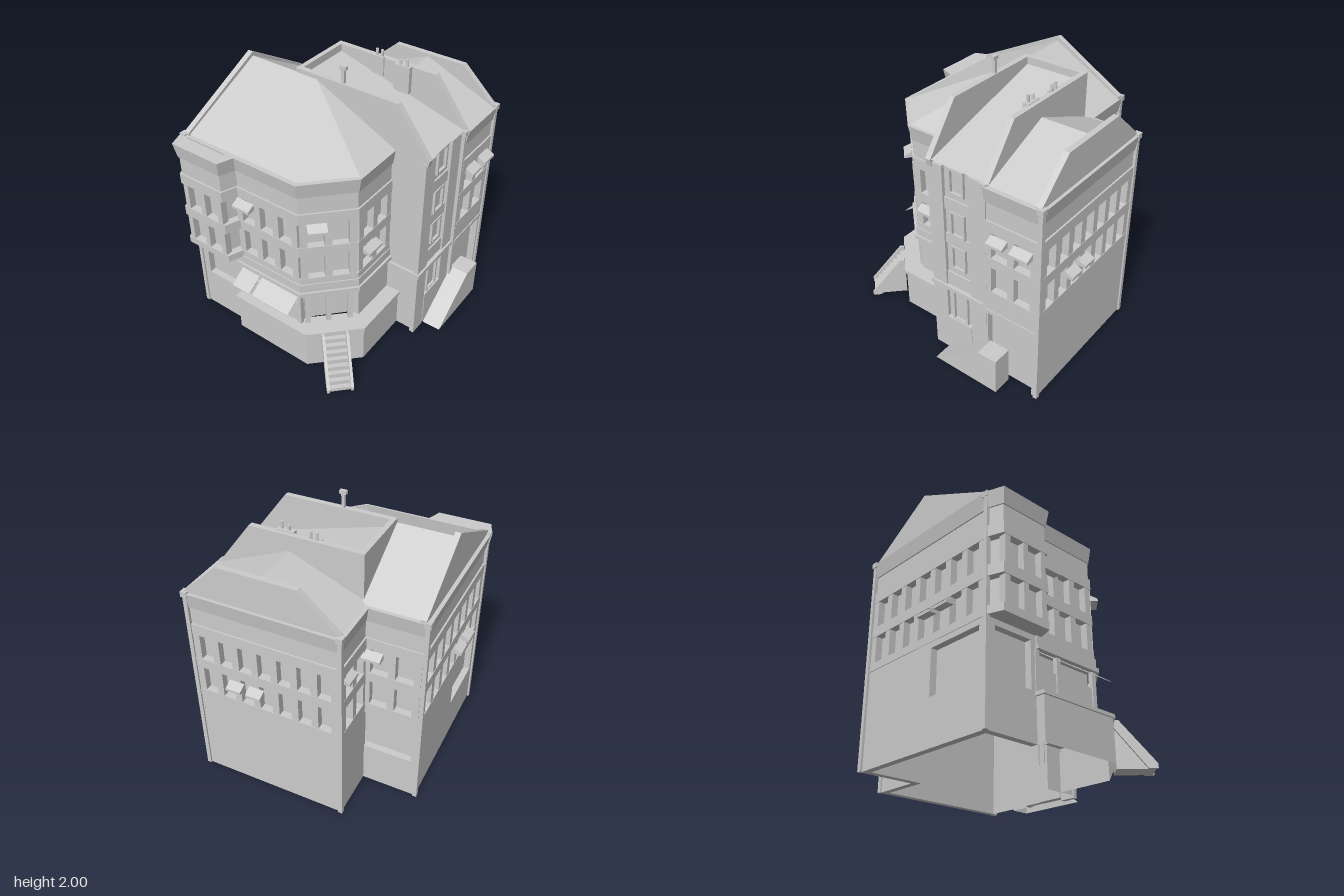
import * as THREE from 'three';

const grey = new THREE.MeshStandardMaterial({ color: 0xcccccc, flatShading: true, side: THREE.DoubleSide });

export function createModel() {
  const model = new THREE.Group();

  const add = (name, geo, x = 0, y = 0, z = 0, turn = 0) => {
    const mesh = new THREE.Mesh(geo, grey);
    mesh.name = name;
    mesh.position.set(x, y, z);
    mesh.rotation.y = turn;
    model.add(mesh);
  };
  // box given by its limits
  const box = (name, x0, x1, y0, y1, z0, z1) =>
    add(name, new THREE.BoxGeometry(x1 - x0, y1 - y0, z1 - z0), (x0 + x1) / 2, (y0 + y1) / 2, (z0 + z1) / 2);
  // flat outline (outward, up) given a width, turned about y
  const slab = (name, pts, width, x, y, z, turn = 0) => {
    const shape = new THREE.Shape(pts.map(p => new THREE.Vector2(...p)));
    const geo = new THREE.ExtrudeGeometry(shape, { depth: width, bevelEnabled: false });
    add(name, geo.translate(0, 0, -width / 2), x, y, z, turn);
  };
  // flat polygons
  const sheet = (name, faces) => {
    const pos = [];
    for (const f of faces)
      for (let i = 1; i < f.length - 1; i++) pos.push(...f[0], ...f[i], ...f[i + 1]);
    const geo = new THREE.BufferGeometry();
    geo.setAttribute('position', new THREE.Float32BufferAttribute(pos, 3));
    geo.computeVertexNormals();
    add(name, geo);
  };
  // outward normal of a plan segment
  const normal = (a, b) => {
    const l = Math.hypot(b[0] - a[0], b[1] - a[1]);
    return [(a[1] - b[1]) / l, (b[0] - a[0]) / l];
  };
  // plan path moved outward by d with mitred corners
  const offset = (path, d) => path.map((p, i) => {
    const last = path.length - 1;
    const a = normal(path[Math.max(i - 1, 0)], path[Math.max(i, 1)]);
    const b = normal(path[Math.min(i, last - 1)], path[Math.min(i + 1, last)]);
    const k = d / (1 + a[0] * b[0] + a[1] * b[1]);
    return [p[0] + (a[0] + b[0]) * k, p[1] + (a[1] + b[1]) * k];
  });
  // section [outward, y] swept along a plan path
  const sweep = (name, path, section, ends = false) => {
    const rows = section.map(([d, y]) => offset(path, d).map(p => [p[0], y, p[1]]));
    const faces = ends ? [rows.map(r => r[0]).reverse(), rows.map(r => r[path.length - 1])] : [];
    for (let r = 0; r < rows.length - 1; r++)
      for (let i = 0; i < path.length - 1; i++)
        faces.push([rows[r][i], rows[r][i + 1], rows[r + 1][i + 1], rows[r + 1][i]]);
    sheet(name, faces);
  };
  const recess = -0.03;
  const band = (name, path, y0, y1, d0, d1 = d0) =>
    sweep(name, path, [[recess, y0], [d0, y0], [d1, y1], [recess, y1]], true);
  const cap = (name, path, y) => {
    const v = path.map(p => new THREE.Vector2(...p));
    sheet(name, THREE.ShapeUtils.triangulateShape(v, []).map(t => t.map(i => [path[i][0], y, path[i][1]]).reverse()));
  };
  // piers along one wall leaving n windows between them
  const piers = (a, b, n, w = 0.05) => {
    const [nx, nz] = normal(a, b);
    const len = Math.hypot(b[0] - a[0], b[1] - a[1]);
    for (let i = 0; i <= n; i++) {
      const t = (w / 2 + (len - w) * i / n) / len;
      const x = a[0] + (b[0] - a[0]) * t - nx * 0.006, z = a[1] + (b[1] - a[1]) * t - nz * 0.006;
      add('windowPier', new THREE.BoxGeometry(0.05, 0.54, w), x, 0.99, z, Math.atan2(-nz, nx));
    }
  };

  // ---- Walls ----
  const shop = [[-0.38, 0.68], [0.155, 0.68], [0.415, 0.41], [0.415, 0.04]];
  const facade = [[0.69, -0.42], [0.69, -0.82], [-0.36, -0.82], [-0.36, -0.46], [-0.76, -0.46],
    [-0.76, 0.68], ...shop.slice(1)];
  const ground = [...facade.slice(0, 6), shop[0]];
  const middle = [[0.4, 0.04], [0.66, 0.04], [0.66, -0.42]];
  const bay = [[-0.77, 0.68], [-0.73, 0.79], [-0.39, 0.79], [-0.35, 0.68]];
  sweep('lowerWalls', ground, [[recess, 0.02], [recess, 0.34]]);
  sweep('upperWalls', facade, [[recess, 0.34], [recess, 1.53]]);
  sweep('middleWalls', middle, [[0, 0.02], [0, 1.53]]);
  sweep('bayWalls', bay, [[recess, 0.7], [recess, 1.53]]);
  cap('wallTop', [...facade, ...middle.slice(1)], 1.53);
  cap('bayTop', bay, 1.53);
  cap('bayFloor', bay, 0.7);
  for (const path of [facade, bay]) {
    band('sillBand', path, 0.7, 0.755, 0.022);
    band('floorBand', path, 0.95, 1.025, 0.022);
    band('lintelBand', path, 1.22, 1.3, 0.022);
    band('frieze', path, 1.3, 1.43, 0.01);
    band('cornice', path, 1.43, 1.54, 0.018, 0.037);
  }
  const windowCounts = [2, 7, 2, 2, 7, 0, 2, 2];
  windowCounts.forEach((n, i) => n && piers(facade[i], facade[i + 1], n));
  piers([-0.36, 0.68], [0.155, 0.68], 3);
  piers(bay[1], bay[2], 2, 0.04);

  // ground storey with sunken shop panels and a sunken side gate
  const gateEdge = [0.69, -0.8];
  const solid = [
    [[facade[0], [0.69, -0.44]], 0.02, 0.55], [[gateEdge, ...ground.slice(1)], 0.02, 0.34],
    [[gateEdge, ...facade.slice(1, 4)], 0.34, 0.66], [[facade[0], gateEdge], 0.55, 0.66],
    [[[-0.73, -0.46], [-0.76, -0.46], [-0.76, 0.2]], 0.34, 0.66],
    [[[-0.76, 0.64], [-0.76, 0.68], [-0.71, 0.68]], 0.34, 0.66],
    [[[-0.42, 0.68], shop[0]], 0.34, 0.66], [ground, 0.66, 0.7]];
  for (const [path, y0, y1] of solid) band('groundWall', path, y0, y1, 0.018);

  // ---- Corner shop above the terrace ----
  band('shopBeam', shop, 0.61, 0.64, 0.045);
  band('shopFascia', shop, 0.64, 0.705, 0.03);
  for (const [x, z, turn] of [[-0.37, 0.69, 0], [-0.185, 0.69, 0], [0.145, 0.69, 0], [0.185, 0.66, Math.PI / 4],
    [0.285, 0.555, Math.PI / 4], [0.39, 0.445, Math.PI / 4]])
    add('shopColumn', new THREE.BoxGeometry(0.035, 0.28, 0.03), x, 0.475, z, turn);
  box('shopApron', -0.37, 0.15, 0.335, 0.5, 0.65, 0.695);
  box('shopSideWall', 0.385, 0.43, 0.335, 0.61, 0.04, 0.4);
  const terrace = [[-0.38, 0.66], [-0.38, 0.76], [0.245, 0.76], [0.53, 0.475], [0.53, 0.04]];
  sweep('terrace', terrace, [[0, 0.02], [0, 0.31], [0.012, 0.31], [0.012, 0.335], [-0.15, 0.335]]);

  // terrace stairs with stringers
  const steps = [[0, 0.02]];
  for (let i = 0; i < 8; i++) steps.push([i * 0.031, 0.3 - i * 0.036], [(i + 1) * 0.031, 0.3 - i * 0.036]);
  steps.push([0.248, 0.02]);
  slab('stairs', steps, 0.15, 0.395, 0, 0.63, -Math.PI / 4);
  for (const s of [-1, 1])
    slab('stairStringer', [[0, 0.28], [0, 0.335], [0.03, 0.335], [0.26, 0.05], [0.26, 0.02], [0.2, 0.02]], 0.02,
      0.395 + s * 0.059, 0, 0.63 - s * 0.059, -Math.PI / 4);

  // side ramp, open underneath
  const rampSide = x => [[x, 0.02, -0.07], [x, 0.02, -0.6], [x, 0.3, -0.6], [x, 0.3, -0.45]];
  const [inner, outer] = [rampSide(0.695), rampSide(0.835)];
  sheet('sideRamp', [outer, [...inner].reverse(), [inner[1], inner[2], outer[2], outer[1]],
    [inner[3], outer[3], outer[2], inner[2]], [inner[0], outer[0], outer[3], inner[3]]]);

  // ---- Tall middle block, entrance side ----
  const frame = (name, w, h, y) => {
    for (const s of [-1, 1]) {
      add(name, new THREE.BoxGeometry(0.03, h, 0.015), 0.665, y, -0.175 + s * (w - 0.015) / 2);
      add(name, new THREE.BoxGeometry(0.03, 0.015, w), 0.665, y + s * (h - 0.015) / 2, -0.175);
    }
  };
  box('tallPier', 0.65, 0.685, 0, 1.53, -0.07, 0.05);
  box('tallPier', 0.65, 0.685, 0.02, 1.53, -0.42, -0.28);
  for (const [y0, y1] of [[0.59, 0.7], [0.94, 1.02], [1.21, 1.3]])
    box('spandrel', 0.65, 0.672, y0, y1, -0.28, -0.07);
  for (const y of [0.845, 1.115, 1.44]) frame('stairWindow', 0.12, 0.19, y);
  frame('entranceDoor', 0.13, 0.27, 0.43);
  box('doorStep', 0.64, 0.69, 0.02, 0.3, -0.28, -0.07);
  box('entranceLedge', 0.64, 0.7, 0.56, 0.59, -0.43, 0.06);
  box('frontLedge', 0.42, 0.7, 0.56, 0.59, 0.03, 0.06);
  box('sideLedge', 0.68, 0.715, 0.56, 0.59, -0.84, -0.42);

  // ---- Roofs ----
  const ridgeA = [-0.74, 1.85, 0.04], ridgeB = [-0.18, 1.85, 0.04];
  const eave = [[-0.74, 1.547, 0.69], [0.165, 1.547, 0.69], [0.435, 1.547, 0.415], [0.445, 1.547, 0.04]];
  sheet('cornerRoof', [
    [ridgeA, eave[0], eave[1], ridgeB], [ridgeB, eave[1], eave[2]], [ridgeB, eave[2], eave[3]],
    [[-0.74, 1.547, -0.48], ridgeA, [-0.34, 1.85, 0.04], [-0.34, 1.547, -0.48]]]);
  sheet('middleRoof', [[[-0.32, 1.83, 0.03], [0.69, 1.55, 0.03], [0.69, 1.55, -0.43], [-0.32, 1.83, -0.43]]]);
  sheet('rearRoof', [
    [[-0.37, 1.547, -0.42], [0.17, 1.77, -0.42], [0.17, 1.77, -0.82], [-0.37, 1.547, -0.82]],
    [[0.17, 1.77, -0.42], [0.7, 1.547, -0.42], [0.7, 1.547, -0.82], [0.17, 1.77, -0.82]]]);

  // parapets rising above the roofs
  slab('leftParapet', [[-0.49, 1.5], [0.7, 1.5], [0.7, 1.56], [0.04, 1.88], [-0.49, 1.56]], 0.04, -0.75, 0, 0, -Math.PI / 2);
  const tall = [[-0.345, 1.5], [0.69, 1.5], [0.7, 1.55], [0.45, 1.88], [-0.345, 1.88]];
  slab('middleParapet', tall, 0.04, 0, 0, 0.025);
  slab('middleParapet', tall, 0.04, 0, 0, -0.43);
  box('middleParapet', -0.345, -0.31, 1.5, 1.88, -0.43, 0.03);
  slab('rearParapet', [[-0.37, 1.5], [0.71, 1.5], [0.71, 1.55], [0.45, 1.79], [-0.1, 1.79], [-0.37, 1.55]], 0.04, 0, 0, -0.815);

  // chimney breasts, pots and vent
  box('chimney', 0.15, 0.27, 1.69, 1.885, -0.42, -0.375);
  box('chimney', -0.05, 0.05, 1.75, 1.885, -0.42, -0.4);
  for (const [x, z, h] of [[-0.015, -0.42, 0.05], [0.025, -0.42, 0.05], [0.19, -0.395, 0.04], [0.24, -0.395, 0.055]])
    add('chimneyPot', new THREE.CylinderGeometry(0.01, 0.01, h, 8), x, 1.88 + h / 2, z);
  box('ventPost', 0.013, 0.037, 1.86, 1.98, 0.015, 0.035);
  box('ventCap', 0, 0.05, 1.975, 2, 0.012, 0.038);

  // ---- Downpipes with hoppers ----
  for (const [x, z] of [[-0.78, -0.475], [-0.775, 0.695], [-0.375, -0.835], [0.705, -0.835], [0.695, -0.415]]) {
    box('downpipe', x - 0.015, x + 0.015, 0.02, 1.53, z - 0.015, z + 0.015);
    box('hopper', x - 0.023, x + 0.023, 1.51, 1.55, z - 0.023, z + 0.023);
  }

  // ---- Awnings ----
  const front = -Math.PI / 2, back = Math.PI / 2, left = Math.PI, right = 0, corner = -Math.PI / 4;
  const small = [[0, 0], [0.06, -0.03], [0.06, -0.05], [0, -0.045]];
  const deep = [[0, 0], [0.125, -0.085], [0.125, -0.09], [0, -0.005]];
  const awnings = [
    [0.71, 1.21, -0.535, right, 0.125, small], [0.71, 1.21, -0.715, right, 0.14, small],
    [-0.78, 0.925, 0.18, left, 0.125, small], [-0.78, 0.925, 0.345, left, 0.125, small],
    [0.23, 0.925, -0.84, back, 0.11, small], [0.38, 0.925, -0.84, back, 0.11, small],
    [-0.36, 1.21, -0.74, left, 0.12, small], [-0.435, 1.21, -0.48, back, 0.13, small],
    [-0.27, 1.215, 0.7, front, 0.14, small], [0.245, 1.215, 0.61, corner, 0.13, small],
    [0.43, 0.935, 0.29, right, 0.15, small],
    [-0.27, 0.6, 0.705, front, 0.155, deep], [-0.01, 0.6, 0.705, front, 0.32, deep]];
  for (const [x, y, z, turn, w, profile] of awnings) slab('awning', profile, w, x, y, z, turn);

  return model;
}
